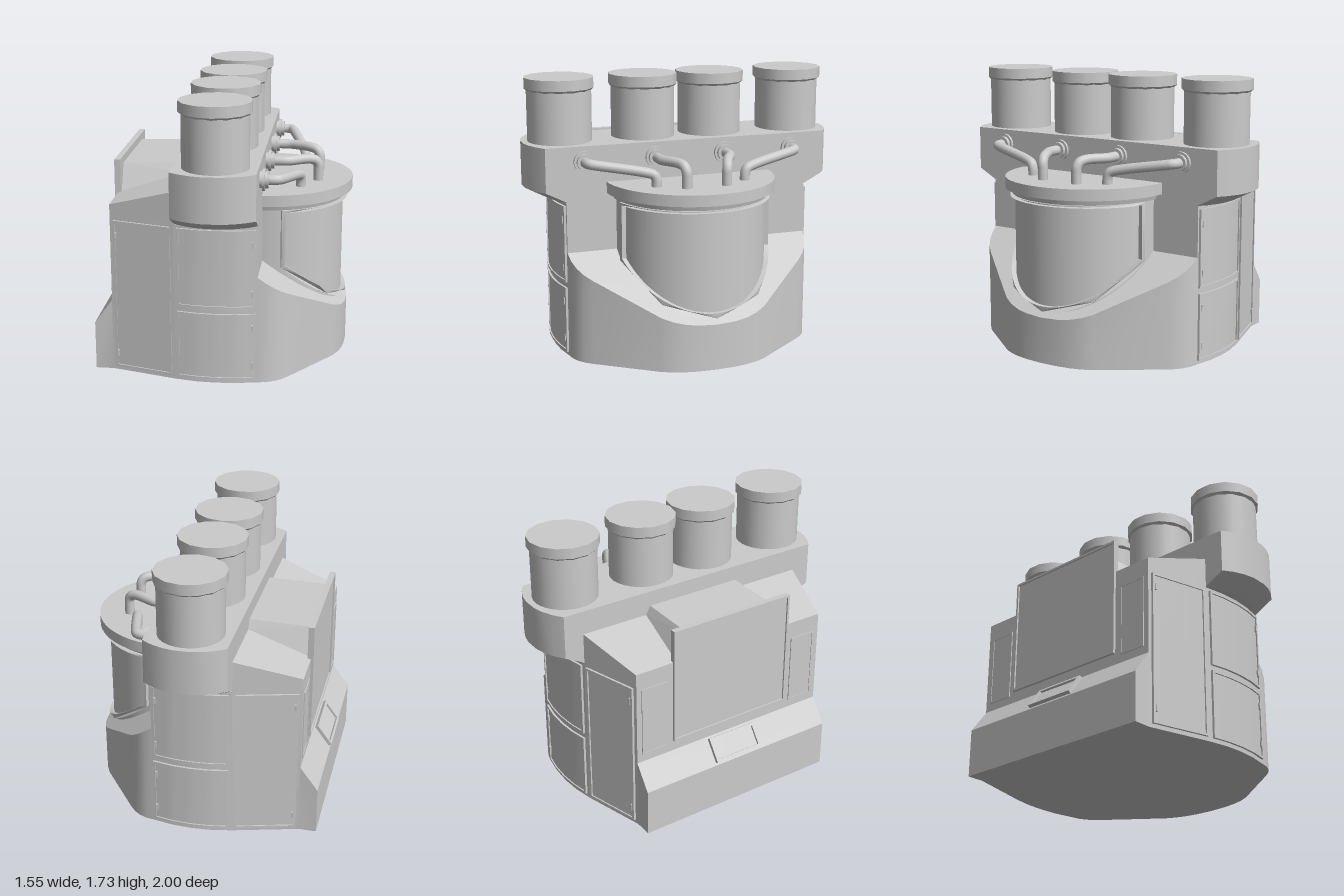
import * as THREE from 'three';
import { toCreasedNormals } from 'three/addons/utils/BufferGeometryUtils.js';
import { ConvexGeometry } from 'three/addons/geometries/ConvexGeometry.js';

const material = new THREE.MeshStandardMaterial({ color: 0xcccccc });

function add(parent, name, geometry, x = 0, y = 0, z = 0) {
  const mesh = new THREE.Mesh(geometry, material);
  mesh.name = name;
  mesh.position.set(x, y, z);
  parent.add(mesh);
  return mesh;
}

// Hull stations from back to front: x, half width, top height
const bulge = [-0.13, -0.01, 0.11].map((x) => [x, 0.822 - 0.5 * (x + 0.01) ** 2, 0.985]);
const skirtTop = (x) => 0.67 - 0.74 * (x - 0.24);
const skirt = [
  [0.24, 0.79], [0.29, 0.782], [0.34, 0.76], [0.38, 0.73], [0.42, 0.685], [0.68, 0.335],
  [0.712, 0.27], [0.734, 0.2], [0.748, 0.12], [0.755, 0],
].map(([x, z]) => [x, z, skirtTop(x)]);
const stations = [
  [-0.77, 0.68, 0.30], [-0.66, 0.68, 0.45], [-0.66, 0.68, 1.06], [-0.26, 0.79, 1.18],
  [-0.26, 0.79, 0.985], ...bulge, [0.24, 0.79, 0.985], ...skirt,
];

// Half width of the hull at a given x
function sideZ(x) {
  for (let i = 1; i < stations.length; i++) {
    const [x0, z0] = stations[i - 1], [x1, z1] = stations[i];
    if (x <= x1 && x1 > x0) return z0 + (z1 - z0) * (x - x0) / (x1 - x0);
  }
  return 0;
}

function hullGeometry() {
  const v = [];
  const quad = (a, b, c, d) => v.push(...a, ...b, ...c, ...a, ...c, ...d);
  for (let i = 1; i < stations.length; i++) {
    const [x0, z0, h0] = stations[i - 1], [x1, z1, h1] = stations[i];
    quad([x0, h0, z0], [x1, h1, z1], [x1, h1, -z1], [x0, h0, -z0]);
    if (x1 === x0) continue;
    quad([x0, 0, z0], [x1, 0, z1], [x1, h1, z1], [x0, h0, z0]);
    quad([x1, 0, -z1], [x0, 0, -z0], [x0, h0, -z0], [x1, h1, -z1]);
    quad([x0, 0, -z0], [x1, 0, -z1], [x1, 0, z1], [x0, 0, z0]);
  }
  const [x, z, h] = stations[0];
  quad([x, 0, -z], [x, 0, z], [x, h, z], [x, h, -z]);
  const g = new THREE.BufferGeometry();
  g.setAttribute('position', new THREE.Float32BufferAttribute(v, 3));
  return toCreasedNormals(g, 0.45);
}

// Panel with a raised rim, facing +z; bend shifts z as a function of x
function framedPanel(name, x0, x1, y0, y1, rim, depth, bend = () => 0, side = 1) {
  const group = new THREE.Group();
  group.name = name;
  const slab = (part, a, b, c, d, t) => {
    const g = new THREE.BoxGeometry(b - a, d - c, t + 0.02, 12, 1, 1);
    g.translate((a + b) / 2, (c + d) / 2, side * (t - 0.02) / 2);
    const p = g.attributes.position;
    for (let i = 0; i < p.count; i++) p.setZ(i, p.getZ(i) + side * bend(p.getX(i)));
    add(group, part, toCreasedNormals(g, 0.6));
  };
  slab('panelFace', x0 + rim, x1 - rim, y0 + rim, y1 - rim, depth * 0.4);
  slab('rimBottom', x0, x1, y0, y0 + rim, depth);
  slab('rimTop', x0, x1, y1 - rim, y1, depth);
  slab('rimLeft', x0, x0 + rim, y0 + rim, y1 - rim, depth);
  slab('rimRight', x1 - rim, x1, y0 + rim, y1 - rim, depth);
  return group;
}

// U-shaped window frame wrapped around the drum
function drumFrameGeometry(cx, r) {
  const outline = (inset) => {
    const a = 1.335 - inset * 2, n = 32, pts = [];
    for (let i = 0; i <= n; i++) {
      const u = -a + 2 * a * i / n;
      pts.push(new THREE.Vector2(u, 0.632 - 0.8 * (0.5 * Math.cos(u) - 0.115) + inset * 1.3));
    }
    for (let i = 0; i <= n; i++) pts.push(new THREE.Vector2(a - 2 * a * i / n, 0.995 - inset * 0.6));
    return pts;
  };
  const shape = new THREE.Shape(outline(0));
  shape.holes.push(new THREE.Path(outline(0.025)));
  const g = new THREE.ExtrudeGeometry(shape, { depth: 0.035, bevelEnabled: false });
  const p = g.attributes.position;
  for (let i = 0; i < p.count; i++) {
    const u = p.getX(i), d = r + p.getZ(i);
    p.setXYZ(i, cx + d * Math.cos(u), p.getY(i), -d * Math.sin(u));
  }
  return toCreasedNormals(g, 0.6);
}

export function createModel() {
  const model = new THREE.Group();
  model.name = 'machine';
  add(model, 'hull', hullGeometry());

  // Cross block with rounded ends and sloping undersides
  const ends = [[-0.26, 0.915], [-0.2, 0.955], [-0.13, 0.985], [-0.06, 1], [0.04, 1], [0.11, 0.985], [0.18, 0.955], [0.24, 0.915]];
  const blockPoints = [];
  for (const [x, z] of ends) for (const s of [-1, 1]) {
    blockPoints.push(new THREE.Vector3(x, 1.33, s * z), new THREE.Vector3(x, 1.055, s * z),
      new THREE.Vector3(x, 0.985, s * (z - 0.135)));
  }
  add(model, 'crossBlock', toCreasedNormals(new ConvexGeometry(blockPoints), 0.4));

  // Raised hump behind the cross block
  const humpPoints = [];
  for (const s of [-1, 1]) {
    for (const [x, y, z] of [[-0.66, 1.0, 0.41], [-0.66, 1.06, 0.4], [-0.66, 1.225, 0.32],
      [-0.25, 1.1, 0.36], [-0.25, 1.18, 0.35], [-0.25, 1.235, 0.32]]) {
      humpPoints.push(new THREE.Vector3(x, y, s * z));
    }
  }
  add(model, 'rearHump', new ConvexGeometry(humpPoints));

  // Four capped stacks
  for (const z of [-0.762, -0.223, 0.223, 0.762]) {
    const stack = new THREE.Group();
    stack.name = 'stack';
    stack.position.set(-0.01, 0, z);
    add(stack, 'stackBody', new THREE.CylinderGeometry(0.2, 0.2, 0.33, 28), 0, 1.49);
    add(stack, 'stackCollar', new THREE.CylinderGeometry(0.217, 0.2, 0.015, 14), 0, 1.6525);
    add(stack, 'stackCap', new THREE.CylinderGeometry(0.217, 0.217, 0.065, 14), 0, 1.6925);
    model.add(stack);
  }

  // Front drum with lid and window frame
  add(model, 'drum', new THREE.CylinderGeometry(0.475, 0.475, 0.8, 64), 0.24, 0.65);
  add(model, 'drumNeck', new THREE.CylinderGeometry(0.5, 0.49, 0.035, 64), 0.24, 1.0125);
  add(model, 'drumLid', new THREE.CylinderGeometry(0.535, 0.535, 0.07, 64), 0.24, 1.065);
  add(model, 'drumWindowFrame', drumFrameGeometry(0.24, 0.47));

  for (const s of [-1, 1]) {
    // Pipes from the cross block down into the drum lid
    const outer = [[0.24, 1.24, 0.68], [0.32, 1.24, 0.68], [0.345, 1.24, 0.67], [0.36, 1.235, 0.64],
      [0.445, 1.185, 0.34], [0.457, 1.17, 0.3], [0.46, 1.14, 0.287], [0.46, 1.08, 0.285]];
    const inner = [[0.24, 1.24, 0.225], [0.35, 1.24, 0.225], [0.38, 1.24, 0.218], [0.5, 1.24, 0.155],
      [0.54, 1.228, 0.138], [0.558, 1.2, 0.13], [0.56, 1.16, 0.128], [0.56, 1.08, 0.128]];
    for (const path of [outer, inner]) {
      const curve = new THREE.CatmullRomCurve3(path.map(([x, y, z]) => new THREE.Vector3(x, y, s * z)));
      add(model, 'pipe', new THREE.TubeGeometry(curve, 48, 0.031, 14));
      for (const [r, x, w] of [[0.05, 0.25, 0.02], [0.065, 0.264, 0.016], [0.05, 0.28, 0.024]]) {
        const flange = add(model, 'pipeFlange', new THREE.CylinderGeometry(r, r, w, 24), x, 1.24, s * path[0][2]);
        flange.rotation.z = Math.PI / 2;
      }
    }

    // Side doors and their hinges
    const doors = [['tallDoor', -0.64, -0.28, 0.025, 0.965, -0.622],
      ['upperDoor', -0.24, 0.23, 0.48, 0.965, 0.21], ['lowerDoor', -0.24, 0.23, 0.025, 0.445, 0.21]];
    for (const [name, x0, x1, y0, y1, hx] of doors) {
      model.add(framedPanel(name, x0, x1, y0, y1, 0.014, 0.014, sideZ, s));
      for (const y of [y0 + 0.09, y1 - 0.09]) {
        add(model, 'hinge', new THREE.BoxGeometry(0.012, 0.04, 0.03), hx, y, s * (sideZ(hx) + 0.003));
      }
    }

    // Narrow rear hatches
    const hatch = framedPanel('rearHatch', -0.09, 0.09, 0.5, 0.95, 0.012, 0.006);
    hatch.position.set(-0.66, 0, s * 0.555);
    hatch.rotation.y = -Math.PI / 2;
    model.add(hatch);
  }

  // Large rear screen standing above the hump
  const screen = framedPanel('rearScreen', -0.425, 0.425, 0.52, 1.27, 0.014, 0.017);
  screen.position.x = -0.66;
  screen.rotation.y = -Math.PI / 2;
  model.add(screen);

  // Small control panel on the rear slope
  const control = framedPanel('controlPanel', -0.17, 0.17, -0.078, 0.078, 0.018, 0.022);
  control.position.set(-0.715, 0.375, 0);
  control.rotation.set(-0.632, -Math.PI / 2, 0, 'YXZ');
  model.add(control);

  return model;
}
